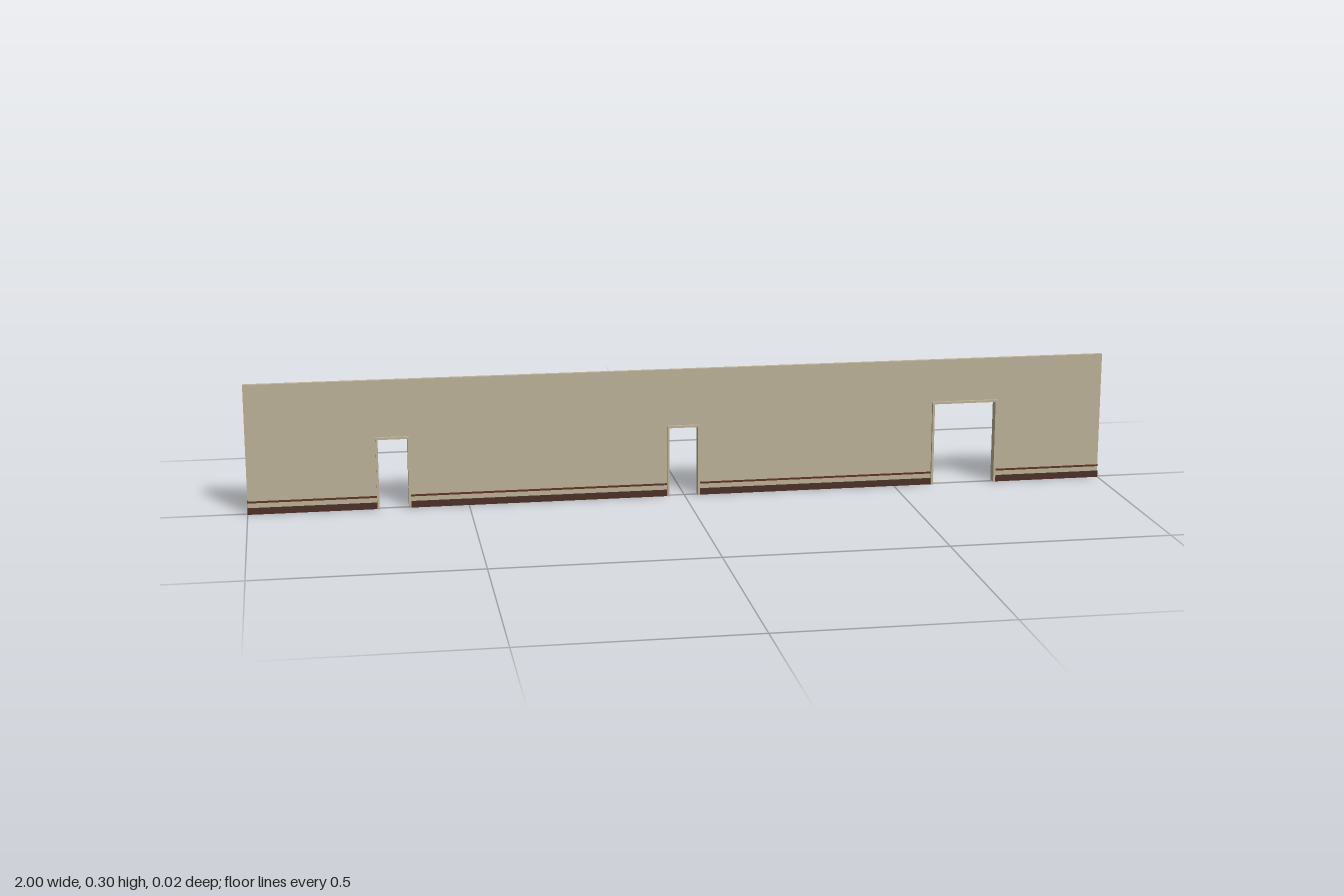
import * as THREE from 'three';

// Openings: clear left edge, clear right edge, outer top of frame
const OPENINGS = [
  [-0.704, -0.637, 0.168],
  [-0.036, 0.031, 0.168],
  [0.594, 0.741, 0.2],
];
const FRAME = 0.005;   // frame board thickness
const END = 0.9995;    // half length of the wall
const HEIGHT = 0.3;

const wallMat = new THREE.MeshStandardMaterial({ name: 'beige plaster', color: 0xbdb398 });
const baseMat = new THREE.MeshStandardMaterial({ name: 'dark brown wood', color: 0x4a2f25 });
const railMat = new THREE.MeshStandardMaterial({ name: 'brown wood', color: 0x5e321f });

// Extrude an outline to a given depth, centred on z = 0
function slab(name, points, depth, material) {
  const shape = new THREE.Shape(points.map(([x, y]) => new THREE.Vector2(x, y)));
  const geometry = new THREE.ExtrudeGeometry(shape, { depth, bevelEnabled: false });
  geometry.translate(0, 0, -depth / 2);
  const mesh = new THREE.Mesh(geometry, material);
  mesh.name = name;
  return mesh;
}

function box(name, x0, x1, y0, y1, z0, z1, material) {
  const mesh = new THREE.Mesh(new THREE.BoxGeometry(x1 - x0, y1 - y0, z1 - z0), material);
  mesh.position.set((x0 + x1) / 2, (y0 + y1) / 2, (z0 + z1) / 2);
  mesh.name = name;
  return mesh;
}

export function createModel() {
  const model = new THREE.Group();
  model.name = 'partitionWall';

  // Wall with doorways notched out of its lower edge
  const outline = [[-END, 0]];
  for (const [l, r, top] of OPENINGS) {
    outline.push([l - FRAME, 0], [l - FRAME, top], [r + FRAME, top], [r + FRAME, 0]);
  }
  outline.push([END, 0], [END, HEIGHT], [-END, HEIGHT]);
  model.add(slab('wall', outline, 0.01, wallMat));

  // Door frames, standing proud of both faces
  for (const [l, r, top] of OPENINGS) {
    model.add(slab('doorFrame', [
      [l - FRAME, 0], [l, 0], [l, top - FRAME], [r, top - FRAME],
      [r, 0], [r + FRAME, 0], [r + FRAME, top], [l - FRAME, top],
    ], 0.023, wallMat));
  }

  // Skirting boards and rails between the doorways
  let start = -1;
  for (const [l, r] of [...OPENINGS, [1 + FRAME, 0]]) {
    const end = l - FRAME;
    model.add(box('skirtingFront', start, end, 0, 0.015, 0.005, 0.0075, baseMat));
    model.add(box('skirtingBack', start, end, 0, 0.015, -0.0075, -0.005, baseMat));
    model.add(box('rail', start, end, 0.0265, 0.0305, -0.0075, 0.0075, railMat));
    start = r + FRAME;
  }
  return model;
}
